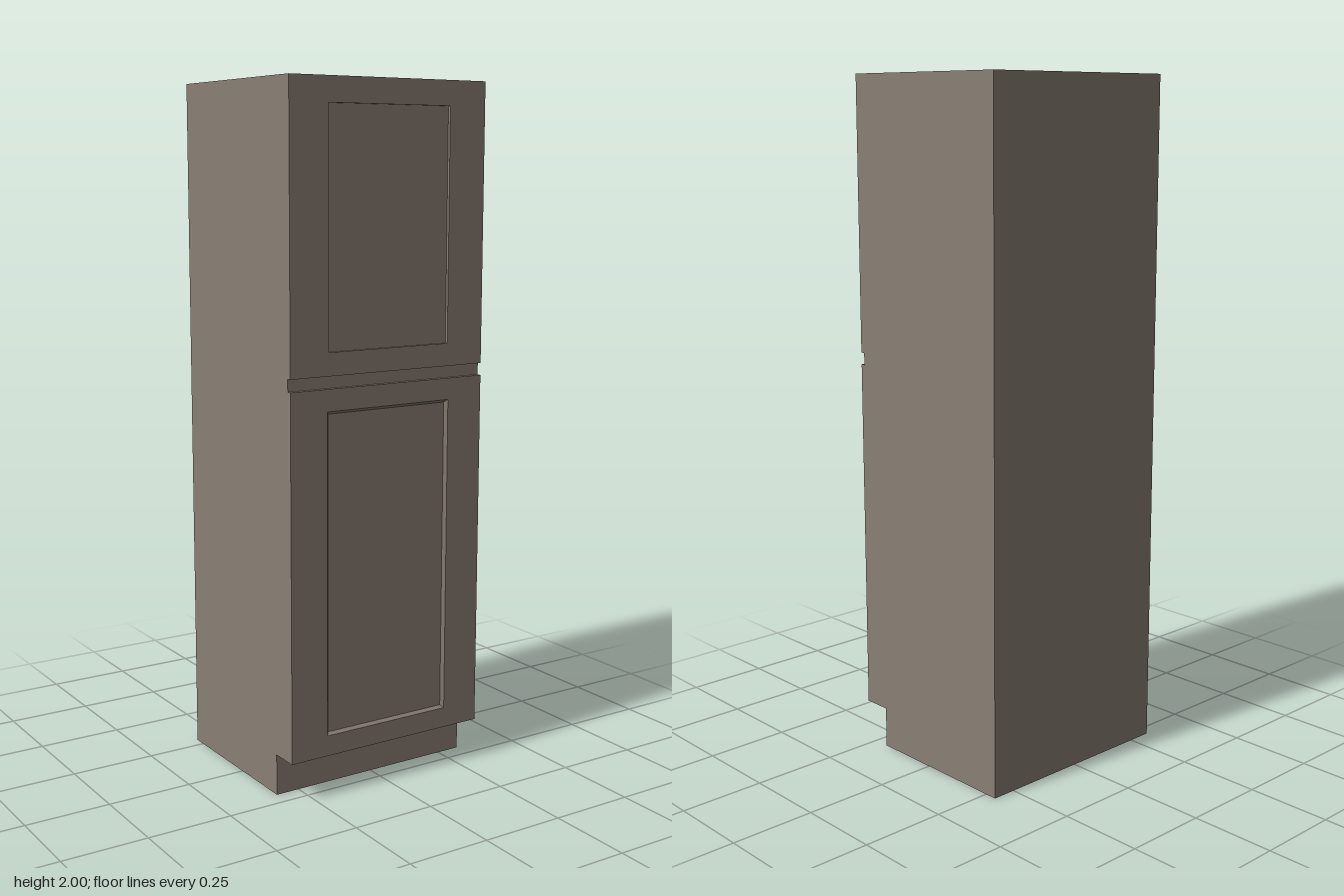
import * as THREE from 'three';

const W = 0.322, BACK = -0.287, FRONT = 0.285, CARCASS = 0.272;
const paint = new THREE.MeshStandardMaterial({ color: 0x8a7f74 });

// Skins a series of rectangles [halfWidth, bottom, top, z], closing the last one
function loftRectangles(rings) {
  const corners = rings.map(([w, b, t, z]) => [[-w, b, z], [w, b, z], [w, t, z], [-w, t, z]]);
  const pos = [];
  const quad = (a, b, c, d) => pos.push(...a, ...b, ...c, ...a, ...c, ...d);
  for (let r = 0; r + 1 < corners.length; r++) {
    for (let i = 0; i < 4; i++) {
      const j = (i + 1) % 4;
      quad(corners[r][i], corners[r][j], corners[r + 1][j], corners[r + 1][i]);
    }
  }
  quad(...corners[corners.length - 1]);
  const geo = new THREE.BufferGeometry();
  geo.setAttribute('position', new THREE.Float32BufferAttribute(pos, 3));
  geo.computeVertexNormals();
  return geo;
}

// Door slab with a recessed centre panel; slope widens the recess towards the front
function door(name, bottom, top, panel, slope) {
  const [w, b, t] = panel;
  const floor = FRONT - 0.009;
  const mesh = new THREE.Mesh(loftRectangles([
    [W, bottom, top, CARCASS],
    [W, bottom, top, FRONT],
    [w, b, t, FRONT],
    [w - slope, b + slope, t - slope, floor],
  ]), paint);
  mesh.name = name;
  return mesh;
}

export function createModel() {
  const cabinet = new THREE.Group();
  cabinet.name = 'tallCabinet';

  // Carcass: side profile with toe kick, extruded across the width
  const side = new THREE.Shape([
    [BACK, 0], [0.2, 0], [0.2, 0.12], [CARCASS, 0.12], [CARCASS, 2], [BACK, 2],
  ].map(([z, y]) => new THREE.Vector2(-z, y)));
  const carcassGeo = new THREE.ExtrudeGeometry(side, { depth: 2 * W, bevelEnabled: false });
  carcassGeo.translate(0, 0, -W).rotateY(Math.PI / 2);
  const carcass = new THREE.Mesh(carcassGeo, paint);
  carcass.name = 'carcass';
  cabinet.add(carcass);

  // Doors, separated by a narrow gap
  cabinet.add(door('lowerDoor', 0.12, 1.17, [0.205, 0.18, 1.108], 0.008));
  cabinet.add(door('upperDoor', 1.205, 2, [0.2, 1.27, 1.93], 0));

  // Undersides and backs of the doors
  for (const [name, y, h] of [['lowerDoorBack', 0.12, 1.05], ['upperDoorBack', 1.205, 0.795]]) {
    const back = new THREE.Mesh(new THREE.PlaneGeometry(2 * W, h).rotateY(Math.PI), paint);
    back.position.set(0, y + h / 2, CARCASS);
    back.name = name;
    cabinet.add(back);
  }
  return cabinet;
}
